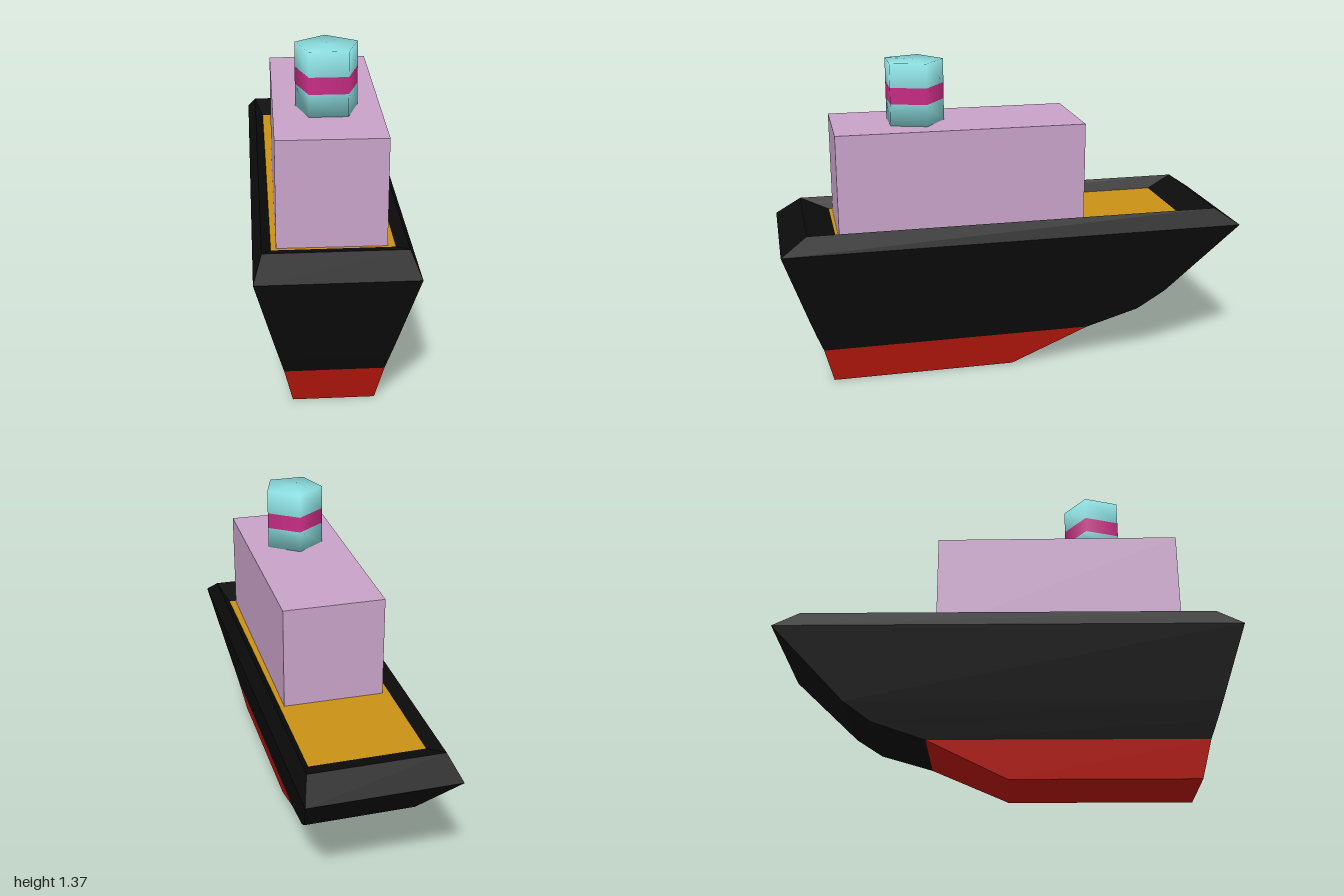
import * as THREE from 'three';

const mat = (color, flatShading = true) => new THREE.MeshStandardMaterial({ color, flatShading });

// Skin over four-cornered rings, each [y, halfWidth, backZ, frontZ]
function loft(name, rings, color, { bottom = false, top = false } = {}) {
  const positions = [];
  const index = [];
  for (const [y, w, back, front] of rings) {
    positions.push(w, y, front, w, y, back, -w, y, back, -w, y, front);
  }
  for (let r = 0; r < rings.length - 1; r++) {
    for (let i = 0; i < 4; i++) {
      const a = r * 4 + i, b = r * 4 + (i + 1) % 4;
      index.push(a, b, b + 4, a, b + 4, a + 4);
    }
  }
  if (bottom) index.push(0, 2, 1, 0, 3, 2);
  const t = (rings.length - 1) * 4;
  if (top) index.push(t, t + 1, t + 2, t, t + 2, t + 3);
  const geometry = new THREE.BufferGeometry();
  geometry.setAttribute('position', new THREE.Float32BufferAttribute(positions, 3));
  geometry.setIndex(index);
  const flat = geometry.toNonIndexed();
  flat.computeVertexNormals();
  const mesh = new THREE.Mesh(flat, mat(color));
  mesh.name = name;
  return mesh;
}

export function createModel() {
  const ship = new THREE.Group();
  ship.name = 'ship';

  // Hull: red keel, dark sides folding over a sloped rim, deck inside it
  const waterline = [0.16, 0.2, -0.34, 0.84];
  const deckEdge = [0.66, 0.243, -0.77, 0.765];
  ship.add(loft('keel', [[0, 0.165, 0, 0.8], waterline], 0xb8160d, { bottom: true }));
  ship.add(loft('hull', [
    waterline,
    [0.235, 0.218, -0.57, 0.868],
    [0.32, 0.239, -0.69, 0.897],
    [0.635, 0.315, -1, 1],
    [0.71, 0.28, -0.89, 0.89],
    deckEdge,
  ], 0x0d0c0c));
  ship.add(loft('deck', [deckEdge], 0xc99015, { top: true }));

  // Cabin, sitting very slightly askew
  const cabin = new THREE.Mesh(new THREE.BoxGeometry(0.435, 0.447, 1.06), mat(0xc8a2c8));
  cabin.name = 'cabin';
  cabin.position.set(0, 0.8835, 0.222);
  cabin.rotation.y = -0.01;
  ship.add(cabin);

  // Five-sided funnel in three bands, softly shaded into its end caps
  const funnel = new THREE.Group();
  funnel.name = 'funnel';
  funnel.position.set(0, 1.107, 0.4);
  const r = 0.133;
  const bands = [
    ['funnelBase', [[0, 0], [r, 0], [r, 0.093]], 0x8bdcde],
    ['funnelStripe', [[r, 0.093], [r, 0.163]], 0xcc2e88],
    ['funnelTop', [[r, 0.163], [r, 0.266], [0, 0.266]], 0x8bdcde],
  ];
  for (const [name, profile, color] of bands) {
    const points = profile.map(([x, y]) => new THREE.Vector2(x, y));
    const band = new THREE.Mesh(new THREE.LatheGeometry(points, 5, Math.PI), mat(color, false));
    band.name = name;
    funnel.add(band);
  }
  ship.add(funnel);

  return ship;
}
